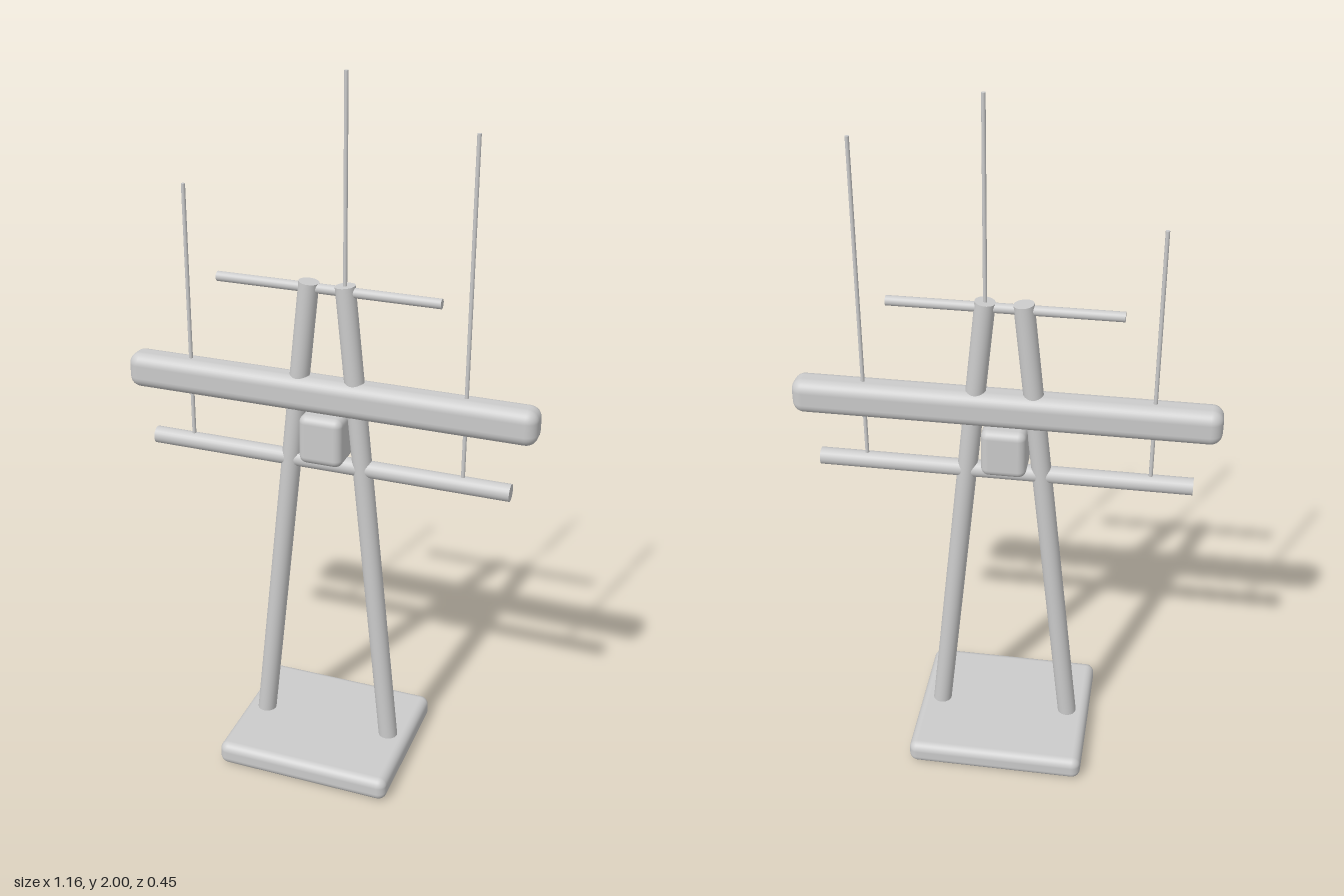
import * as THREE from 'three';
import { RoundedBoxGeometry } from 'three/addons/geometries/RoundedBoxGeometry.js';

const material = new THREE.MeshStandardMaterial({ color: 0xcccccc });
const UP = new THREE.Vector3(0, 1, 0);

// Round rod between two points in the z = 0 plane
function rod(name, [x0, y0], [x1, y1], radius, sides = 24) {
  const a = new THREE.Vector3(x0, y0, 0);
  const b = new THREE.Vector3(x1, y1, 0);
  const mesh = new THREE.Mesh(new THREE.CylinderGeometry(radius, radius, a.distanceTo(b), sides), material);
  mesh.name = name;
  mesh.position.copy(a).add(b).multiplyScalar(0.5);
  mesh.quaternion.setFromUnitVectors(UP, b.sub(a).normalize());
  return mesh;
}

// Box with rounded edges, centred on (x, y, 0)
function roundedBox(name, width, height, depth, radius, x, y) {
  const mesh = new THREE.Mesh(new RoundedBoxGeometry(width, height, depth, 4, radius), material);
  mesh.name = name;
  mesh.position.set(x, y, 0);
  return mesh;
}

export function createModel() {
  const model = new THREE.Group();
  model.name = 'antennaMast';

  // Base plate
  model.add(roundedBox('base', 0.514, 0.07, 0.45, 0.025, 0, 0.035));

  // Two legs leaning towards each other
  for (const side of [-1, 1]) {
    model.add(rod(side < 0 ? 'rightLeg' : 'leftLeg', [side * 0.198, 0.03], [side * 0.05, 1.454], 0.0275));
  }

  // Crossbars and the thick main beam
  model.add(rod('lowerCrossbar', [-0.516, 0.938], [0.516, 0.938], 0.024));
  model.add(rod('upperCrossbar', [-0.31, 1.438], [0.31, 1.438], 0.0135));
  model.add(roundedBox('mainBeam', 1.16, 0.1, 0.086, 0.032, 0, 1.14));

  // Equipment box between the legs
  model.add(roundedBox('equipmentBox', 0.124, 0.142, 0.112, 0.022, -0.003, 1.019));

  // Whip antennas of differing heights
  const antennas = [['rightAntenna', -0.4, 0.938, 1.68], ['centreAntenna', 0.05, 1.43, 2], ['leftAntenna', 0.385, 0.938, 1.875]];
  for (const [name, x, bottom, top] of antennas) {
    model.add(rod(name, [x, bottom], [x, top], 0.0055, 12));
  }

  return model;
}
